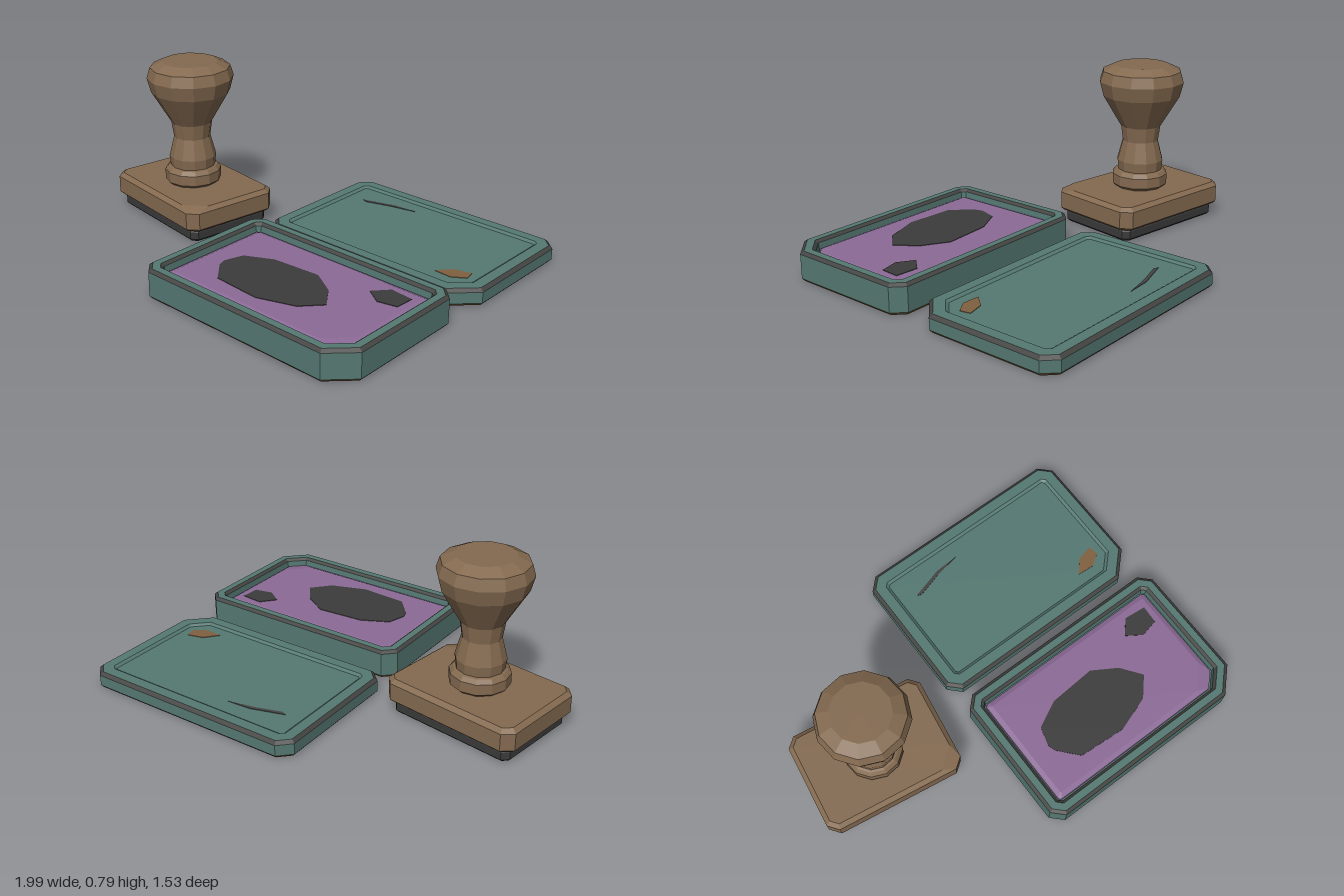
import * as THREE from 'three';

const mat = (name, color) => new THREE.MeshStandardMaterial({ name, color });

// Give every face its own normal
function faceted(geo) {
  const g = geo.index ? geo.toNonIndexed() : geo;
  g.computeVertexNormals();
  return g;
}

// Rectangle with cut corners, shrunk by inset; cuts run back-right-side order:
// (-x,-z), (+x,-z), (+x,+z), (-x,+z)
function ring(box, y, inset, cuts) {
  const [x0, x1, z0, z1] = [box[0] + inset, box[1] - inset, box[2] + inset, box[3] - inset];
  const [a, b, c, d] = cuts.map((k) => Math.max(0.004, k - inset * 0.586));
  return [
    [x0, y, z0 + a], [x0 + a, y, z0], [x1 - b, y, z0], [x1, y, z0 + b],
    [x1, y, z1 - c], [x1 - c, y, z1], [x0 + d, y, z1], [x0, y, z1 - d],
  ];
}

// Skin a stack of rings, with optional end caps
function loft(rings, { bottom = false, top = false } = {}) {
  const out = [];
  const tri = (...pts) => pts.forEach((p) => out.push(...p));
  for (let r = 0; r + 1 < rings.length; r++) {
    const lo = rings[r], hi = rings[r + 1];
    for (let i = 0; i < 8; i++) {
      const j = (i + 1) % 8;
      tri(lo[i], hi[i], hi[j]);
      tri(lo[i], hi[j], lo[j]);
    }
  }
  const first = rings[0], last = rings[rings.length - 1];
  for (let i = 1; i < 7; i++) {
    if (bottom) tri(first[0], first[i], first[i + 1]);
    if (top) tri(last[0], last[i + 1], last[i]);
  }
  const g = new THREE.BufferGeometry();
  g.setAttribute('position', new THREE.Float32BufferAttribute(out, 3));
  g.computeVertexNormals();
  return g;
}

// Thin flat patch lying at height y, outlined by [x, z] points
function patch(points, y) {
  const shape = new THREE.Shape(points.map(([x, z]) => new THREE.Vector2(x, -z)));
  const g = new THREE.ExtrudeGeometry(shape, { depth: 0.003, bevelEnabled: false });
  return g.rotateX(-Math.PI / 2).translate(0, y, 0);
}

export function createModel() {
  const wood = mat('wood', 0x846a50);
  const rubber = mat('rubber', 0x3a3a3a);
  const teal = mat('teal tin', 0x557872);
  const edge = mat('worn dark edge', 0x444443);
  const rust = mat('rust', 0x80603f);
  const purple = mat('purple ink pad', 0x8b6a96);
  const ink = mat('dried ink', 0x3c3c3c);

  const model = new THREE.Group();
  const add = (parent, name, geo, material) => {
    const m = new THREE.Mesh(geo, material);
    m.name = name;
    parent.add(m);
    return m;
  };
  const group = (name) => {
    const g = new THREE.Group();
    g.name = name;
    model.add(g);
    return g;
  };

  // Hand stamp, turned slightly on the table
  const stamp = group('handStamp');
  stamp.position.x = -0.625;
  stamp.rotation.y = -0.148;
  const block = [-0.345, 0.345, -0.25, 0.25];
  const cuts = [0.045, 0.045, 0.045, 0.045];
  add(stamp, 'stampRubber', loft([
    ring(block, 0, 0.042, cuts), ring(block, 0.012, 0.03, cuts),
    ring(block, 0.048, 0.03, cuts), ring(block, 0.066, 0.04, cuts),
  ], { bottom: true, top: true }), rubber);
  // Front corner of the block is worn down
  add(stamp, 'stampBlock', loft([
    ring(block, 0.063, 0.014, cuts), ring(block, 0.076, 0, cuts),
    ring(block, 0.157, 0, cuts), ring(block, 0.175, 0.022, [0.045, 0.045, 0.1, 0.045]),
  ], { bottom: true, top: true }), wood);

  // Turned handle
  const profile = [
    [0, 0.17], [0.115, 0.17], [0.138, 0.19], [0.138, 0.24], [0.122, 0.258], [0.11, 0.262],
    [0.115, 0.31], [0.089, 0.41], [0.1, 0.485], [0.192, 0.64], [0.21, 0.71],
    [0.194, 0.762], [0.135, 0.79], [0, 0.79],
  ].map(([r, y]) => new THREE.Vector2(r, y));
  add(stamp, 'handle', faceted(new THREE.LatheGeometry(profile, 12)), wood);

  // Shared tin shell: rust foot, painted wall and bare upper edge
  function shell(parent, prefix, box, height, bevel, corner) {
    add(parent, prefix + 'Floor', loft([ring(box, 0, 0.012, corner)], { bottom: true }), teal);
    add(parent, prefix + 'Foot', loft([ring(box, 0, 0.012, corner), ring(box, 0.014, 0, corner)]), rust);
    add(parent, prefix + 'Wall', loft([ring(box, 0.014, 0, corner), ring(box, height - bevel, 0, corner)]), teal);
    add(parent, prefix + 'Edge', loft([ring(box, height - bevel, 0, corner), ring(box, height, 0.016, corner)]), edge);
  }

  // Ink pad tin
  const tin = group('inkPadTin');
  const tinBox = [-0.14, 0.99, 0.038, 0.765];
  const tinCuts = [0.055, 0.055, 0.11, 0.055];
  shell(tin, 'tin', tinBox, 0.14, 0.012, tinCuts);
  add(tin, 'tinRim', loft([ring(tinBox, 0.14, 0.016, tinCuts), ring(tinBox, 0.14, 0.05, tinCuts)]), teal);
  add(tin, 'tinInnerEdge', loft([ring(tinBox, 0.14, 0.05, tinCuts), ring(tinBox, 0.128, 0.064, tinCuts)]), edge);
  add(tin, 'tinInside', loft([
    ring(tinBox, 0.128, 0.064, tinCuts), ring(tinBox, 0.09, 0.068, tinCuts),
  ], { top: true }), teal);
  add(tin, 'inkPad', loft([
    ring(tinBox, 0.085, 0.074, tinCuts), ring(tinBox, 0.103, 0.076, tinCuts),
    ring(tinBox, 0.113, 0.1, [0.06, 0.06, 0.16, 0.06]),
  ], { top: true }), purple);
  add(tin, 'largeInkBlot', patch([
    [0.053, 0.45], [0.08, 0.36], [0.21, 0.295], [0.445, 0.278], [0.565, 0.35],
    [0.64, 0.45], [0.56, 0.54], [0.385, 0.6], [0.15, 0.585], [0.065, 0.49],
  ], 0.1125), ink);
  add(tin, 'smallInkBlot', patch([
    [0.695, 0.24], [0.755, 0.17], [0.865, 0.18], [0.86, 0.27], [0.77, 0.29],
  ], 0.1125), ink);

  // Lid lying behind the tin, with a shallow sunken panel
  const lid = group('tinLid');
  const lidBox = [-0.148, 0.997, -0.77, -0.03];
  const lidCuts = [0.058, 0.058, 0.115, 0.058];
  shell(lid, 'lid', lidBox, 0.08, 0.014, lidCuts);
  add(lid, 'lidTop', loft([
    ring(lidBox, 0.08, 0.016, lidCuts), ring(lidBox, 0.08, 0.066, lidCuts),
    ring(lidBox, 0.07, 0.08, lidCuts),
  ], { top: true }), teal);
  add(lid, 'lidScratch', patch([
    [0.015, -0.56], [0.175, -0.608], [0.295, -0.615], [0.165, -0.588], [0.04, -0.55],
  ], 0.0695), edge);
  add(lid, 'lidRustPatch', patch([
    [0.735, -0.165], [0.79, -0.23], [0.87, -0.25], [0.88, -0.2], [0.82, -0.16],
  ], 0.0695), rust);

  return model;
}
